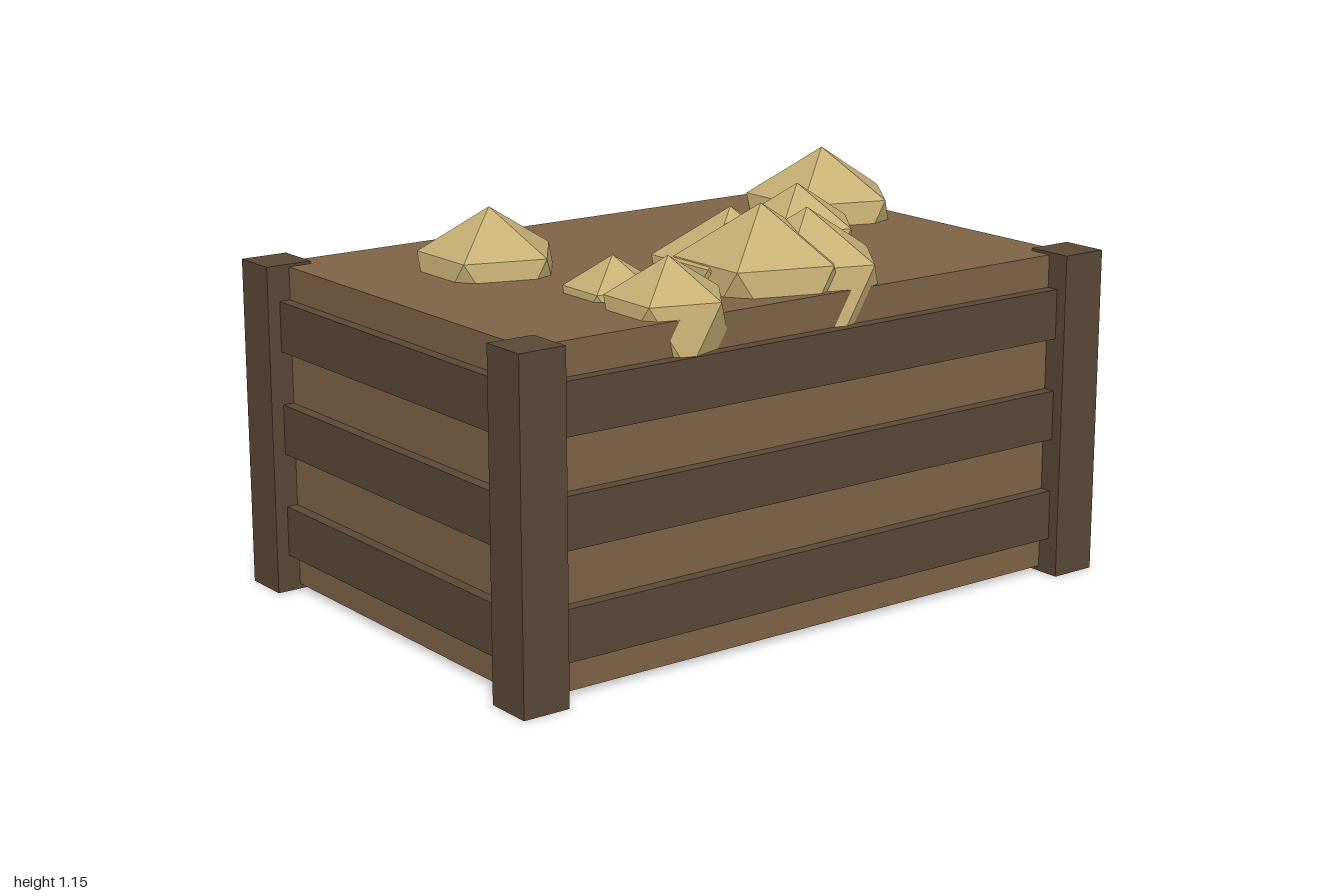
import * as THREE from 'three';

export function createModel() {
  const group = new THREE.Group();
  const mat = (color) => new THREE.MeshStandardMaterial({ color, flatShading: true });
  const darkWood = mat(0x5c4936);
  const earth = mat(0x806548);
  const stone = mat(0xc6af74);

  const add = (name, geometry, material, x, y, z) => {
    const mesh = new THREE.Mesh(geometry, material);
    mesh.name = name;
    mesh.position.set(x, y, z);
    group.add(mesh);
    return mesh;
  };

  // Filled body of the crate
  add('crateBody', new THREE.BoxGeometry(1.86, 0.925, 1.235), earth, 0, 0.4775, 0);

  // Corner posts
  for (const sx of [-1, 1]) {
    for (const sz of [-1, 1]) {
      add('cornerPost', new THREE.BoxGeometry(0.14, 0.948, 0.14), darkWood, sx * 0.93, 0.474, sz * 0.617);
    }
  }

  // Three slats on each side
  for (const y of [0.179, 0.477, 0.774]) {
    for (const s of [-1, 1]) {
      add('longSlat', new THREE.BoxGeometry(1.74, 0.144, 0.05), darkWood, 0, y, s * 0.628);
      add('endSlat', new THREE.BoxGeometry(0.05, 0.144, 1.12), darkWood, s * 0.938, y, 0);
    }
  }

  // Rocks: icosahedra standing on a corner, one upper-ring corner towards +x
  const rock = new THREE.IcosahedronGeometry(1, 0);
  const t = (1 + Math.sqrt(5)) / 2;
  const up = new THREE.Vector3(0, 1, 0);
  const turn = new THREE.Quaternion().setFromUnitVectors(new THREE.Vector3(-1, t, 0).normalize(), up);
  rock.applyQuaternion(turn);
  const ring = new THREE.Vector3(1, t, 0).normalize().applyQuaternion(turn);
  rock.rotateY(Math.atan2(ring.z, ring.x));

  // x, z, radius
  const rocks = [
    [0.735, -0.235, 0.253],
    [0.455, -0.013, 0.207],
    [-0.5, -0.19, 0.223],
    [-0.395, 0.487, 0.188],
    [-0.4, 0.25, 0.15],
    [-0.01, 0.28, 0.241],
    [0, 0.38, 0.263],
    [0.127, 0.422, 0.243],
  ];
  rocks[5][0] = -0.025;
  for (const [x, z, r] of rocks) {
    add('rock', rock, stone, x, 0.892, z).scale.setScalar(r);
  }

  return group;
}
